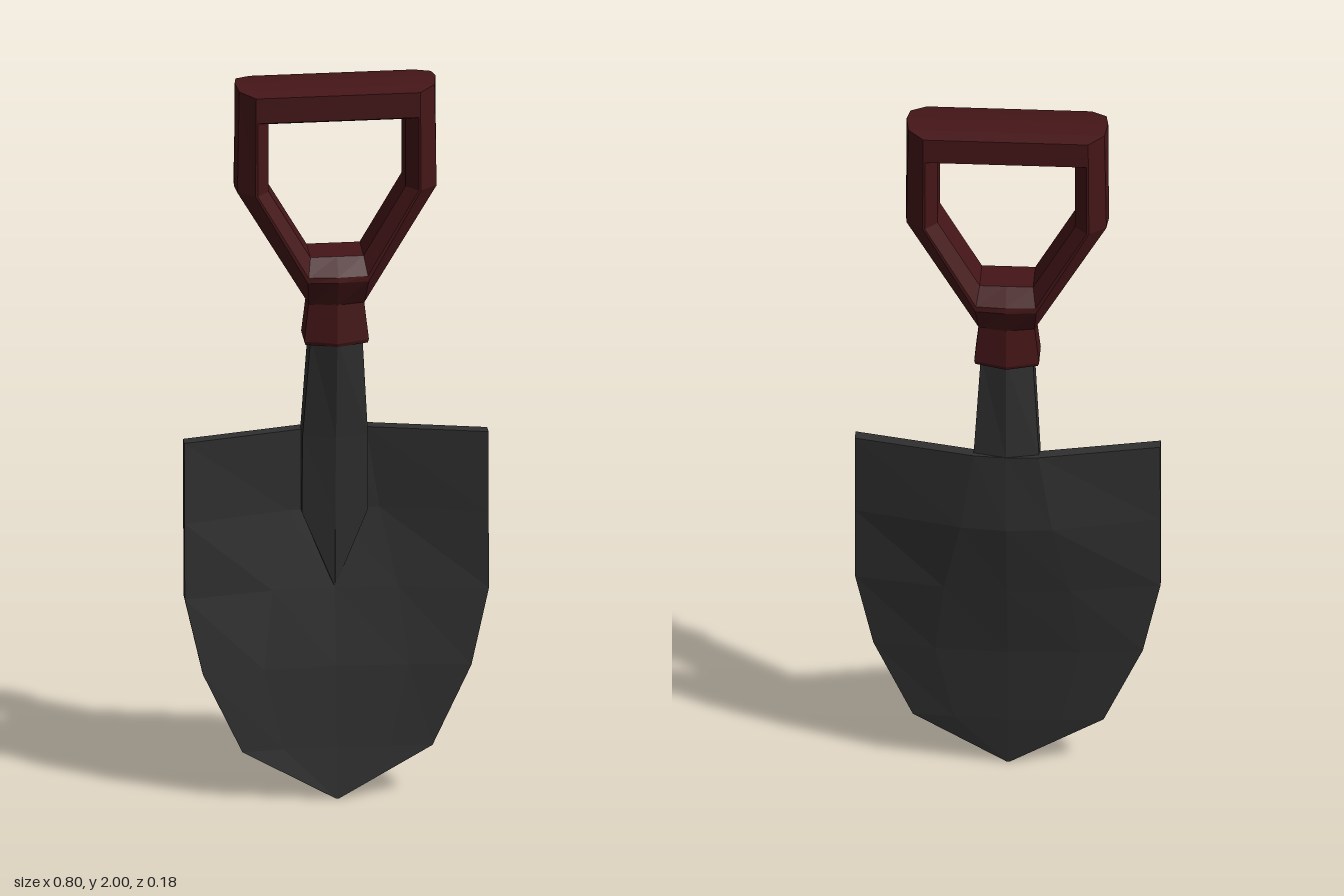
import * as THREE from 'three';

const wood = new THREE.MeshStandardMaterial({ color: 0x451618, flatShading: true });
const steel = new THREE.MeshStandardMaterial({ color: 0x303030, flatShading: true });

// Skins a list of equal-length rings; either loops back on itself or gets end caps.
function loft(name, rings, material, looped = false) {
  const n = rings[0].length, tris = [];
  const quad = (a, b, c, d) => tris.push([a, b, c], [a, c, d]);
  const spans = looped ? rings.length : rings.length - 1;
  for (let r = 0; r < spans; r++) {
    const A = rings[r], B = rings[(r + 1) % rings.length];
    for (let i = 0; i < n; i++) {
      const j = (i + 1) % n;
      quad(A[i], A[j], B[j], B[i]);
    }
  }
  if (!looped) {
    // Caps pair the front half of the ring with the back half
    const first = rings[0], last = rings[rings.length - 1];
    for (let i = 0; i < n / 2 - 1; i++) {
      const p = n - 1 - i;
      quad(first[i], first[p], first[p - 1], first[i + 1]);
      quad(last[i], last[i + 1], last[p - 1], last[p]);
    }
  }
  // Signed volume decides which way the faces should wind
  const v = (p) => new THREE.Vector3(...p);
  const volume = tris.reduce((s, [a, b, c]) => s + v(a).dot(v(b).cross(v(c))), 0);
  const ordered = volume < 0 ? tris.map(([a, b, c]) => [a, c, b]) : tris;
  const geometry = new THREE.BufferGeometry();
  geometry.setAttribute('position', new THREE.Float32BufferAttribute(ordered.flat(2), 3));
  geometry.computeVertexNormals();
  const mesh = new THREE.Mesh(geometry, material);
  mesh.name = name;
  return mesh;
}

// Six-sided ring with a ridge at front and back
function hexRing(y, w, front, back) {
  const mid = (front + back) / 2, h = (front - back) * 0.3;
  return [[-w, y, mid + h], [0, y, front], [w, y, mid + h], [w, y, mid - h], [0, y, back], [-w, y, mid - h]];
}

// Cupped blade ring: half width, fold position, back depth at edge / fold / centre, thickness
function bladeRing([y, w, fold, edgeZ, foldZ, midZ, t]) {
  const back = [[-w, y, edgeZ], [-fold, y, foldZ], [0, y, midZ], [fold, y, foldZ], [w, y, edgeZ]];
  const front = back.map(([x, yy, z]) => [x, yy, z + t]);
  return [...front, ...back.reverse()];
}

// Closed section of the grip from half a profile, running outer ridge to inner face
function gripRing(half) {
  const other = half.slice(1).reverse().map(([x, y, z]) => [x, y, -z]);
  return [...half, ...other];
}

export function createModel() {
  const group = new THREE.Group();
  group.name = 'shovel';

  // Blade
  group.add(loft('blade', [
    [1.005, 0.4, 0.085, 0.002, -0.068, -0.073, 0.033],
    [0.78, 0.4, 0.12, 0.006, -0.064, -0.075, 0.033],
    [0.57, 0.4, 0.165, 0.015, -0.025, -0.036, 0.031],
    [0.36, 0.353, 0.19, 0.027, 0.008, -0.001, 0.029],
    [0.14, 0.25, 0.14, 0.033, 0.024, 0.018, 0.027],
    [0, 0.004, 0.002, 0.034, 0.034, 0.034, 0.027],
  ].map(bladeRing), steel));

  // Socket and shaft, tapering to a point on the blade
  group.add(loft('shaft', [
    hexRing(1.29, 0.068, 0.062, -0.056),
    hexRing(1.0, 0.086, 0.025, -0.073),
    hexRing(0.78, 0.086, 0.008, -0.074),
    hexRing(0.57, 0.002, -0.004, -0.03),
  ], steel));

  // Collar under the grip
  group.add(loft('collar', [
    hexRing(1.42, 0.075, 0.062, -0.062),
    hexRing(1.385, 0.073, 0.057, -0.057),
    hexRing(1.28, 0.085, 0.066, -0.066),
    hexRing(1.27, 0.082, 0.062, -0.062),
  ], wood));

  // D-shaped grip: half profiles at base, shoulder and top corner, mirrored to the other side
  const base = [[0.077, 1.385, 0], [0.073, 1.385, 0.04], [0.08, 1.46, 0.083], [0.078, 1.475, 0.083], [0.07, 1.52, 0.05]];
  const shoulder = [[0.266, 1.71, 0], [0.262, 1.71, 0.05], [0.218, 1.71, 0.083], [0.212, 1.71, 0.083], [0.18, 1.71, 0.05]];
  const corner = [[0.264, 2, 0], [0.257, 1.993, 0.048], [0.216, 1.985, 0.083], [0.212, 1.915, 0.083], [0.18, 1.9, 0.05]];
  const centre = [[0, 1.385, 0], [0, 1.385, 0.055], [0, 1.46, 0.09], [0, 1.475, 0.088], [0, 1.52, 0.05]];
  const flip = (half) => half.map(([x, y, z]) => [-x, y, z]);
  const path = [centre, base, shoulder, corner, flip(corner), flip(shoulder), flip(base)];
  group.add(loft('grip', path.map(gripRing), wood, true));

  return group;
}
